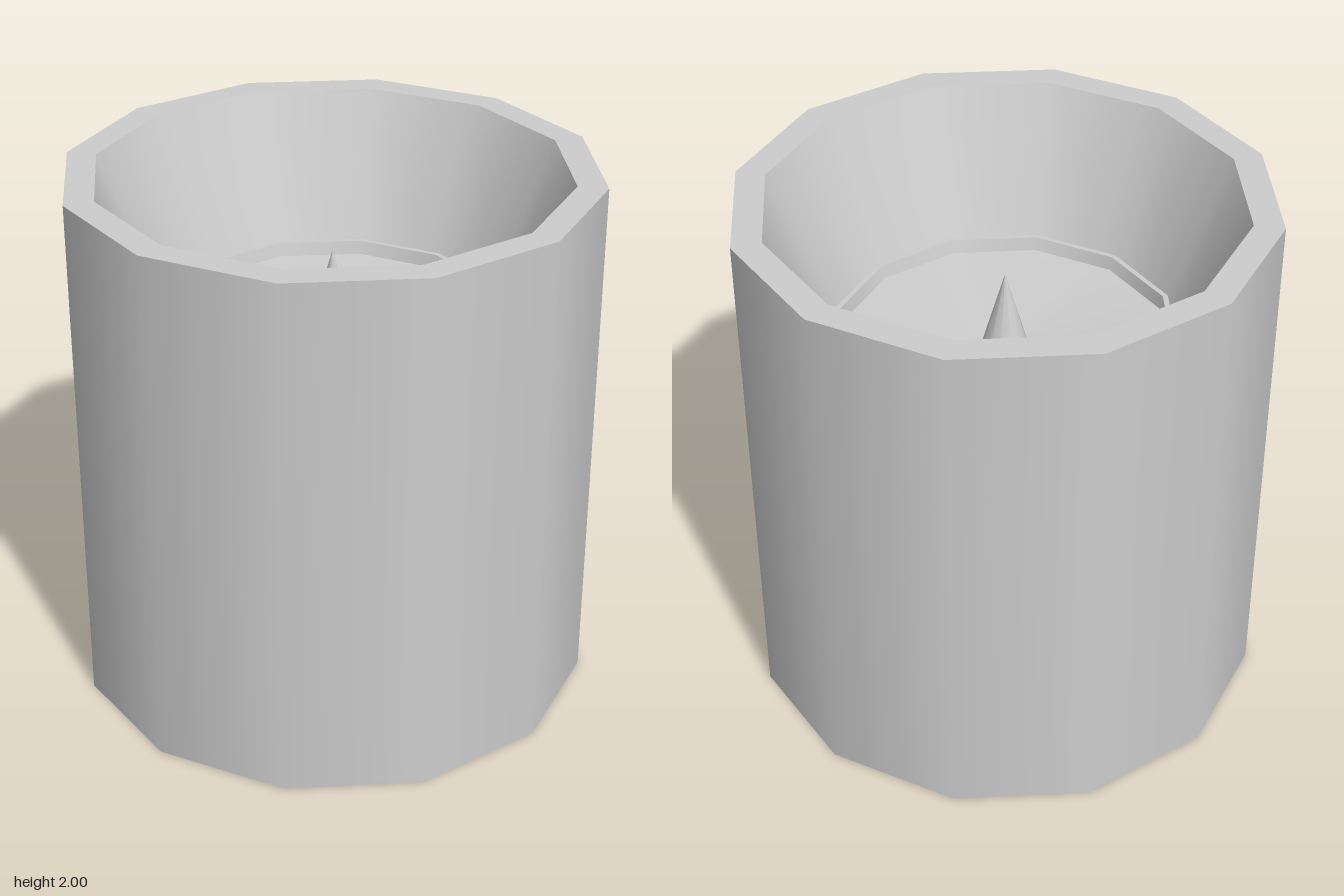
import * as THREE from 'three';

const SIDES = 12;

export function createModel() {
  const model = new THREE.Group();
  const grey = new THREE.MeshStandardMaterial({ color: 0xcccccc });
  grey.name = 'light grey';

  // One lathe per profile segment keeps the rims sharp and the walls smooth.
  function band(name, r0, y0, r1, y1, parent) {
    const points = [new THREE.Vector2(r0, y0), new THREE.Vector2(r1, y1)];
    const mesh = new THREE.Mesh(new THREE.LatheGeometry(points, SIDES), grey);
    mesh.name = name;
    parent.add(mesh);
  }

  // Twelve-sided cup, profile running from the underside up and into the bowl
  const cup = new THREE.Group();
  cup.name = 'cup';
  band('underside', 0, 0, 0.98, 0, cup);
  band('outerWall', 0.98, 0, 0.98, 2, cup);
  band('rim', 0.98, 2, 0.87, 2, cup);
  band('bowlWall', 0.87, 2, 0.64, 1.46, cup);
  band('ledge', 0.64, 1.46, 0.62, 1.46, cup);
  band('recessWall', 0.62, 1.46, 0.607, 1.41, cup);
  band('bowlFloor', 0.607, 1.41, 0, 1.35, cup);
  model.add(cup);

  // Pointed pin in the middle of the floor
  band('centrePin', 0.095, 1.355, 0, 1.69, model);

  return model;
}
